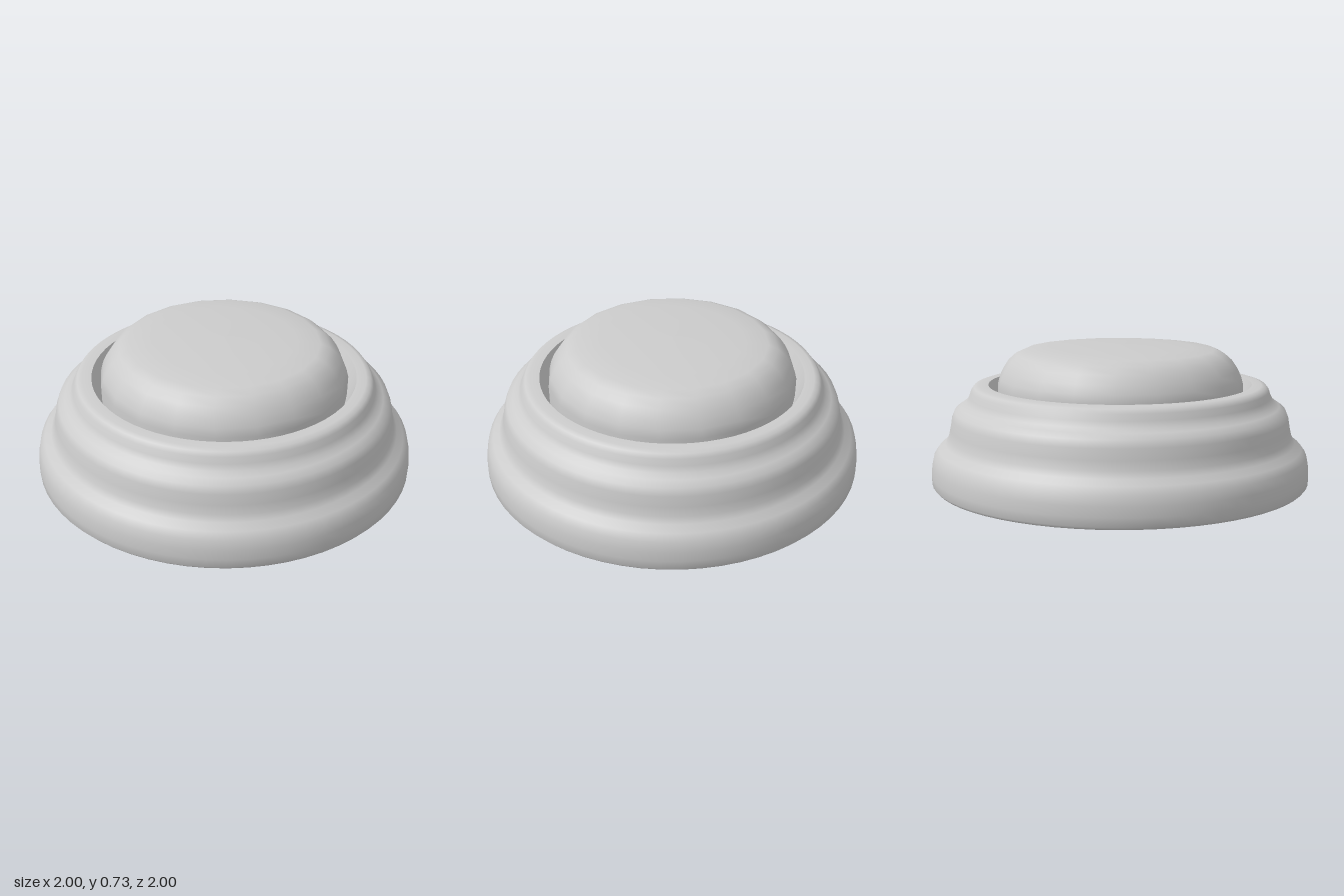
import * as THREE from 'three';

const material = new THREE.MeshStandardMaterial({ color: 0xcccccc });

// Revolves a profile, listed from the underside outward and up
function turned(name, profile, sides) {
  const points = profile.map(([r, y]) => new THREE.Vector2(r, y));
  const mesh = new THREE.Mesh(new THREE.LatheGeometry(points, sides), material);
  mesh.name = name;
  return mesh;
}

export function createModel() {
  const model = new THREE.Group();
  model.name = 'pushButton';

  // Stepped housing; separate lathes keep the rims crisp
  const housing = new THREE.Group();
  housing.name = 'housing';
  housing.add(
    turned('underside', [[0, 0], [0.985, 0]], 64),
    turned('steppedSide', [
      [0.985, 0], [0.998, 0.015], [1, 0.06], [0.996, 0.11], [0.985, 0.16], [0.96, 0.195],
      [0.925, 0.222], [0.907, 0.255], [0.897, 0.3], [0.888, 0.355], [0.873, 0.393],
      [0.84, 0.416], [0.812, 0.436], [0.796, 0.465], [0.785, 0.497],
      [0.77, 0.517], [0.745, 0.525], [0.695, 0.525],
    ], 64),
    turned('socketWall', [[0.695, 0.525], [0.685, 0.5], [0.645, 0.4]], 64),
    turned('socketFloor', [[0.645, 0.4], [0, 0.4]], 64),
  );

  // Low domed button sitting in the socket
  const button = turned('button', [
    [0.65, 0.4], [0.652, 0.515], [0.64, 0.56], [0.62, 0.603], [0.59, 0.648],
    [0.55, 0.683], [0.5, 0.705], [0.38, 0.717], [0.2, 0.726], [0, 0.73],
  ], 20);

  model.add(housing, button);
  return model;
}
